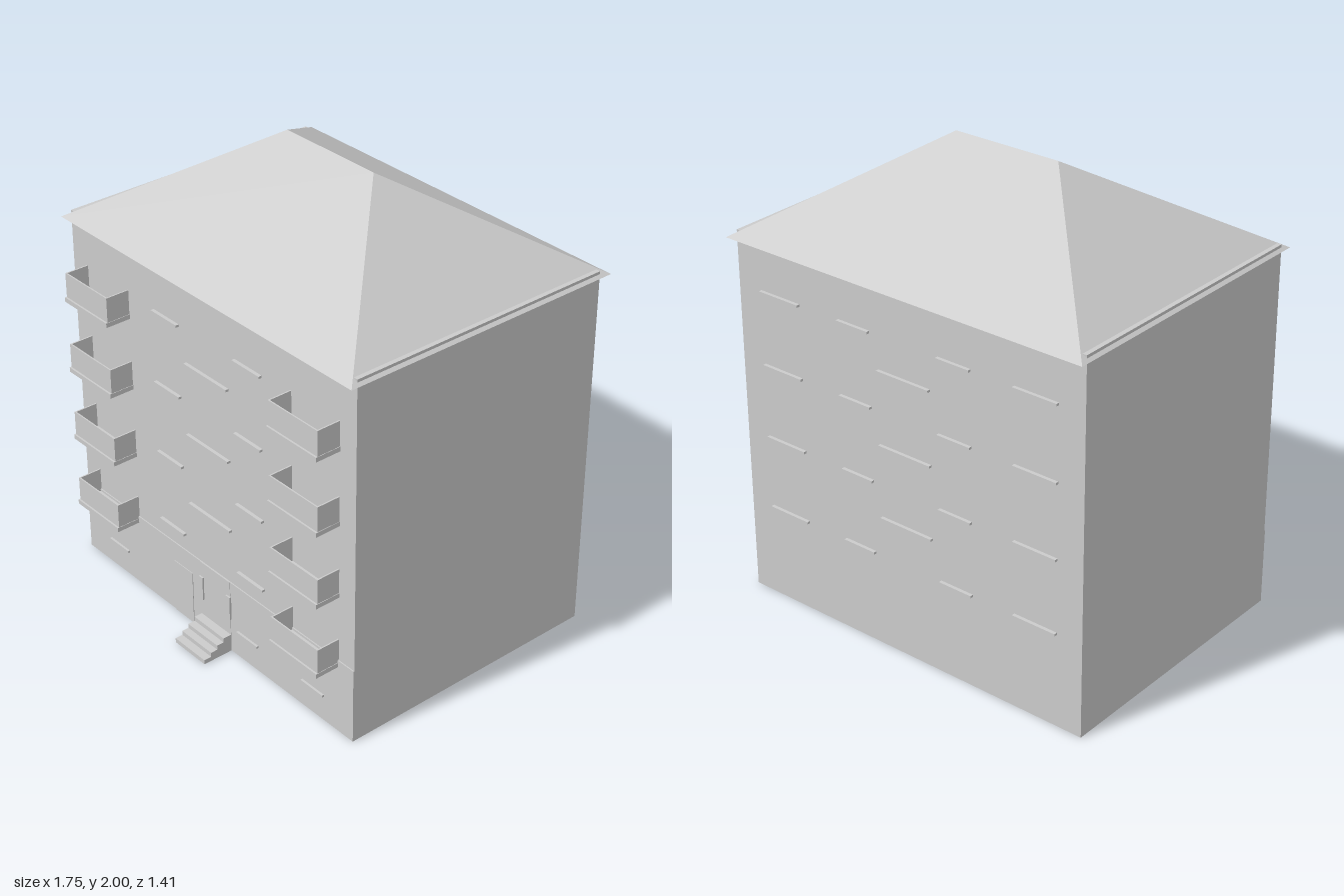
import * as THREE from 'three';

const mat = new THREE.MeshStandardMaterial({ color: 0xcccccc, flatShading: true, side: THREE.DoubleSide });
const FRONT = 0.56, BACK = -0.66, HALF = 0.86;

export function createModel() {
  const model = new THREE.Group();
  const add = (name, geo, parent = model) => {
    const m = new THREE.Mesh(geo, mat);
    m.name = name;
    parent.add(m);
    return m;
  };
  // Box given by its limits
  const box = (name, x0, x1, y0, y1, z0, z1, parent) => {
    const m = add(name, new THREE.BoxGeometry(x1 - x0, y1 - y0, z1 - z0), parent);
    m.position.set((x0 + x1) / 2, (y0 + y1) / 2, (z0 + z1) / 2);
    return m;
  };

  // Walls: a shell without a floor, whose sides rise just through the roof
  const walls = box('walls', -HALF, HALF, 0, 1.622, BACK, FRONT);
  const index = Array.from(walls.geometry.index.array);
  index.splice(18, 6);
  walls.geometry.setIndex(index);
  walls.geometry.clearGroups();

  // Hipped roof: eaves rectangle, with the upper edge pulled in to a ridge
  const roofGeo = new THREE.BoxGeometry(1.75, 0.4, 1.306);
  const p = roofGeo.attributes.position;
  for (let i = 0; i < p.count; i++) {
    if (p.getY(i) > 0) {
      p.setX(i, Math.sign(p.getX(i)) * 0.25);
      p.setZ(i, 0);
    }
  }
  roofGeo.computeVertexNormals();
  add('hippedRoof', roofGeo).position.set(0, 1.8, -0.053);

  // Window sills, on the front or the back wall
  const sill = (x0, x1, y, back) => back
    ? box('backSill', x0, x1, y - 0.005, y + 0.005, BACK - 0.015, BACK)
    : box('frontSill', x0, x1, y - 0.005, y + 0.005, FRONT, FRONT + 0.015);
  for (const y of [0.42, 0.745, 1.07, 1.392]) {
    for (const back of [false, true]) {
      sill(0.17, 0.33, y, back);
      sill(-0.33, -0.17, y, back);
    }
    sill(0.535, 0.74, y, true);
    sill(-0.74, -0.535, y, true);
  }
  for (const y of [0.595, 0.919, 1.242]) {
    sill(-0.13, 0.13, y, false);
    sill(-0.13, 0.13, y, true);
  }
  // Cellar window sills
  for (const [x0, x1] of [[-0.7, -0.57], [0.16, 0.29], [0.56, 0.69]]) sill(x0, x1, 0.12, false);

  // Balconies: floor slab with thin parapets, open at the top
  for (const y of [0.31, 0.635, 0.958, 1.283]) {
    for (const s of [-1, 1]) {
      const b = new THREE.Group();
      b.name = 'balcony';
      b.position.set(s * 0.632, y, 0);
      model.add(b);
      box('slab', -0.14, 0.14, 0, 0.02, FRONT, 0.674, b);
      box('frontParapet', -0.138, 0.138, 0.02, 0.128, 0.66, 0.666, b);
      for (const t of [-1, 1]) {
        box('sideParapet', t * 0.135 - 0.003, t * 0.135 + 0.003, 0.02, 0.128, FRONT, 0.666, b);
      }
    }
  }

  // Plinth course on the front and the entrance
  box('plinth', -HALF, HALF, 0, 0.34, FRONT, FRONT + 0.005);
  box('entrancePanel', -0.25, -0.13, 0, 0.25, FRONT, FRONT + 0.008);
  box('door', -0.075, 0.115, 0.08, 0.34, FRONT, FRONT + 0.007);
  for (const x of [-0.08, 0.095]) box('doorPost', x, x + 0.025, 0.16, 0.27, FRONT, FRONT + 0.014);

  // Entrance steps, extruded from their side profile
  const shape = new THREE.Shape();
  shape.moveTo(FRONT, 0);
  [0.705, 0.67, 0.638, 0.605].forEach((z, i) => {
    shape.lineTo(z, i * 0.02);
    shape.lineTo(z, (i + 1) * 0.02);
  });
  shape.lineTo(FRONT, 0.08);
  const steps = add('entranceSteps', new THREE.ExtrudeGeometry(shape, { depth: 0.19, bevelEnabled: false }));
  steps.rotation.y = -Math.PI / 2;
  steps.position.x = 0.115;

  return model;
}
